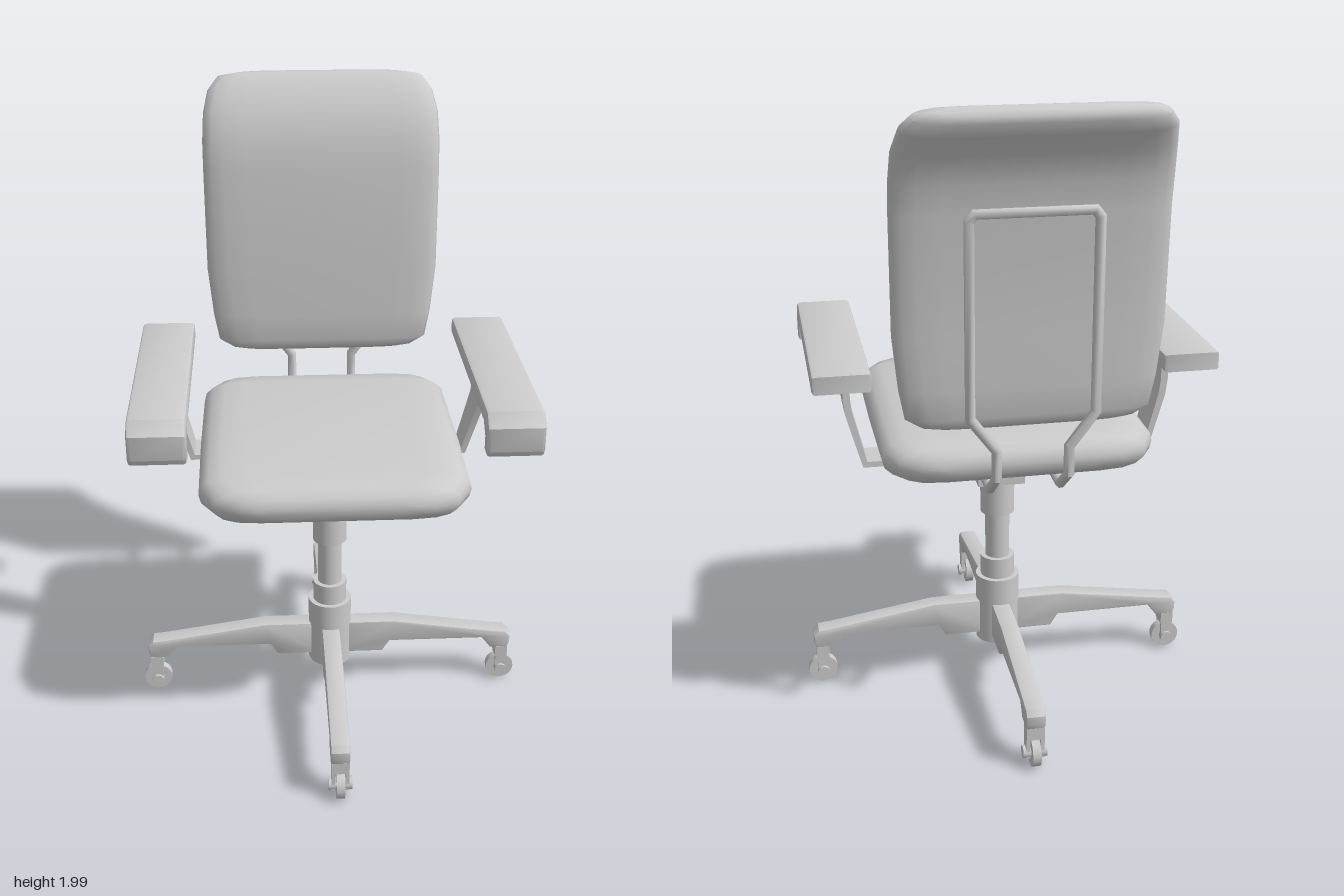
import * as THREE from 'three';
import { toCreasedNormals } from 'three/addons/utils/BufferGeometryUtils.js';

const material = new THREE.MeshStandardMaterial({ color: 0xcccccc, side: THREE.DoubleSide });
const V = (x, y, z) => new THREE.Vector3(x, y, z);

function add(parent, name, geometry, x = 0, y = 0, z = 0) {
  const mesh = new THREE.Mesh(geometry, material);
  mesh.name = name;
  mesh.position.set(x, y, z);
  parent.add(mesh);
  return mesh;
}

// Closed skin over equal-sized rings of points, facing outward
function loft(rings, crease) {
  const n = rings[0].length, pts = rings.flat(), tris = [];
  for (let r = 0; r < rings.length - 1; r++) {
    for (let i = 0; i < n; i++) {
      const a = r * n + i, b = r * n + (i + 1) % n;
      tris.push([a, b, b + n], [a, b + n, a + n]);
    }
  }
  const last = (rings.length - 1) * n;
  for (let i = 1; i < n - 1; i++) tris.push([0, i + 1, i], [last, last + i, last + i + 1]);
  let volume = 0;
  for (const [a, b, c] of tris) volume += pts[a].dot(pts[b].clone().cross(pts[c]));
  const index = tris.flatMap(([a, b, c]) => (volume < 0 ? [a, c, b] : [a, b, c]));
  const g = new THREE.BufferGeometry().setFromPoints(pts);
  g.setIndex(index);
  return toCreasedNormals(g, crease);
}

// Direction of a path at point i, averaged over its neighbours
function tangents(path) {
  return path.map((p, i) => {
    const before = path[Math.max(i - 1, 0)], after = path[Math.min(i + 1, path.length - 1)];
    const t = V(0, 0, 0);
    if (before !== p) t.add(p.clone().sub(before).normalize());
    if (after !== p) t.add(after.clone().sub(p).normalize());
    return t.normalize();
  });
}

// Padded cushion; rows are [z, y, half width, half thickness]
function cushion(rows) {
  const dirs = tangents(rows.map(([z, y]) => V(0, y, z)));
  const quarter = [[0, 0], [0.007, 0.4], [0.03, 0.72], [0.07, 0.92], [0.14, 1]];
  return loft(rows.map(([z, y, w, t], i) => {
    const right = quarter.map(([d, k]) => [w - d, k * t]);
    const top = [...right, ...right.map(([a, b]) => [-a, b]).reverse()];
    const bottom = top.slice(1, -1).reverse().map(([a, b]) => [a, -b]);
    return [...top, ...bottom].map(([a, b]) => V(a, y + dirs[i].z * b, z - dirs[i].y * b));
  }), 1.0);
}

// Bent rod with mitred corners
function rod(path, radius, sides = 8) {
  const dirs = tangents(path);
  const side = V(1, 0, 0);
  side.addScaledVector(dirs[0], -side.dot(dirs[0])).normalize();
  return loft(path.map((p, i) => {
    if (i) side.applyQuaternion(new THREE.Quaternion().setFromUnitVectors(dirs[i - 1], dirs[i]));
    const up = dirs[i].clone().cross(side);
    return Array.from({ length: sides }, (_, k) => {
      const a = ((k + 0.5) / sides) * Math.PI * 2;
      return p.clone().addScaledVector(side, Math.cos(a) * radius).addScaledVector(up, Math.sin(a) * radius);
    });
  }), 0.9);
}

// Bent flat bar; rows are [x, y, back z, front z]
function flatBar(rows, mirror, h = 0.011) {
  const dirs = tangents(rows.map(([x, y]) => V(x, y, 0)));
  return loft(rows.map(([x, y, z0, z1], i) => {
    const nx = -dirs[i].y * h, ny = dirs[i].x * h;
    return [[1, z0], [1, z1], [-1, z1], [-1, z0]].map(([s, z]) => V(mirror * (x + s * nx), y + s * ny, z));
  }), 0.5);
}

// Side profile extruded to a width, centred, with a small bevel
function slab(points, width, bevel) {
  const shape = new THREE.Shape(points.map(([x, y]) => new THREE.Vector2(x, y)));
  const g = new THREE.ExtrudeGeometry(shape, {
    depth: width - 2 * bevel, bevelSize: bevel, bevelThickness: bevel, bevelOffset: -bevel, bevelSegments: 2,
  });
  g.translate(0, 0, bevel - width / 2);
  return toCreasedNormals(g, 0.6);
}

function cylinder(r, y0, y1, sides = 24) {
  return new THREE.CylinderGeometry(r, r, y1 - y0, sides).translate(0, (y0 + y1) / 2, 0);
}

function createLeg() {
  const leg = new THREE.Group();
  leg.name = 'baseLeg';
  add(leg, 'legBeam', slab([
    [0.03, 0.14], [0.18, 0.14], [0.205, 0.18], [0.525, 0.18], [0.555, 0.14], [0.615, 0.14],
    [0.622, 0.16], [0.622, 0.185], [0.605, 0.203], [0.56, 0.208], [0.22, 0.26], [0.03, 0.26],
  ], 0.06, 0.006));
  // Caster: fork, wheel and axle
  add(leg, 'casterStem', new THREE.BoxGeometry(0.042, 0.04, 0.056), 0.595, 0.121, 0);
  for (const s of [-1, 1]) {
    add(leg, 'casterFork', new THREE.BoxGeometry(0.036, 0.075, 0.012), 0.595, 0.073, s * 0.022);
  }
  const tyre = new THREE.CylinderGeometry(0.047, 0.047, 0.026, 24).rotateX(Math.PI / 2);
  add(leg, 'casterWheel', tyre, 0.595, 0.05, 0);
  add(leg, 'casterAxle', new THREE.CylinderGeometry(0.02, 0.02, 0.074, 16).rotateX(Math.PI / 2), 0.595, 0.05, 0);
  return leg;
}

export function createModel() {
  const chair = new THREE.Group();
  chair.name = 'officeChair';

  // Four-legged base and telescopic column
  const base = new THREE.Group();
  base.name = 'base';
  base.position.z = 0.005;
  chair.add(base);
  for (let i = 0; i < 4; i++) {
    const leg = createLeg();
    leg.rotation.y = (i * Math.PI) / 2;
    base.add(leg);
  }
  add(base, 'hub', cylinder(0.072, 0.115, 0.35));
  add(base, 'hubCollar', cylinder(0.056, 0.35, 0.42));
  add(base, 'gasLift', cylinder(0.04, 0.42, 0.59));
  add(base, 'upperSleeve', cylinder(0.056, 0.58, 0.71));
  add(base, 'tiltBlock', new THREE.BoxGeometry(0.152, 0.15, 0.152), 0, 0.775, 0);
  add(chair, 'seatPlate', new THREE.BoxGeometry(0.26, 0.025, 0.365), 0, 0.863, 0.0025);

  // Cushions
  add(chair, 'seat', cushion([
    [0.458, 0.935, 0.24, 0.018], [0.448, 0.935, 0.29, 0.036], [0.42, 0.935, 0.365, 0.055],
    [0.34, 0.935, 0.41, 0.065], [0.0, 0.935, 0.413, 0.065], [-0.34, 0.935, 0.41, 0.065],
    [-0.41, 0.935, 0.37, 0.055], [-0.437, 0.935, 0.3, 0.036], [-0.447, 0.935, 0.25, 0.018],
  ]));
  add(chair, 'backrest', cushion([
    [-0.468, 1.073, 0.26, 0.014], [-0.468, 1.082, 0.31, 0.026], [-0.469, 1.11, 0.355, 0.034],
    [-0.472, 1.2, 0.372, 0.036], [-0.478, 1.36, 0.388, 0.036], [-0.492, 1.7, 0.39, 0.036],
    [-0.508, 1.79, 0.39, 0.036], [-0.536, 1.875, 0.385, 0.036], [-0.585, 1.937, 0.37, 0.035],
    [-0.616, 1.972, 0.34, 0.03], [-0.626, 1.982, 0.28, 0.018],
  ]));

  // Back frame: one bent rod running up, across and down again
  const half = [
    [0.06, 0.862, -0.15], [0.06, 0.862, -0.27], [0.105, 0.862, -0.34], [0.105, 0.862, -0.435],
    [0.105, 0.935, -0.533], [0.105, 1.02, -0.533], [0.18, 1.12, -0.533], [0.18, 1.68, -0.533], [0.165, 1.7, -0.533],
  ];
  const path = [...half.map((p) => V(...p)), ...half.map(([x, y, z]) => V(-x, y, z)).reverse()];
  add(chair, 'backFrame', rod(path, 0.016));

  // Armrests
  for (const s of [1, -1]) {
    const arm = new THREE.Group();
    arm.name = s > 0 ? 'leftArmrest' : 'rightArmrest';
    chair.add(arm);
    add(arm, 'armSupport', flatBar([
      [0.12, 0.855, -0.18, -0.068], [0.445, 0.855, -0.18, -0.068], [0.489, 1.02, -0.18, -0.048],
      [0.495, 1.07, -0.18, -0.03], [0.495, 1.12, -0.18, 0.015], [0.495, 1.165, -0.18, 0.09],
    ], s));
    const pad = slab([
      [-0.362, 1.158], [0.345, 1.158], [0.378, 1.13], [0.378, 1.085], [0.42, 1.082],
      [0.43, 1.1], [0.43, 1.175], [0.39, 1.212], [-0.362, 1.212],
    ], 0.172, 0.01).rotateY(-Math.PI / 2);
    add(arm, 'armPad', pad, s * 0.519, 0, 0);
  }
  return chair;
}
